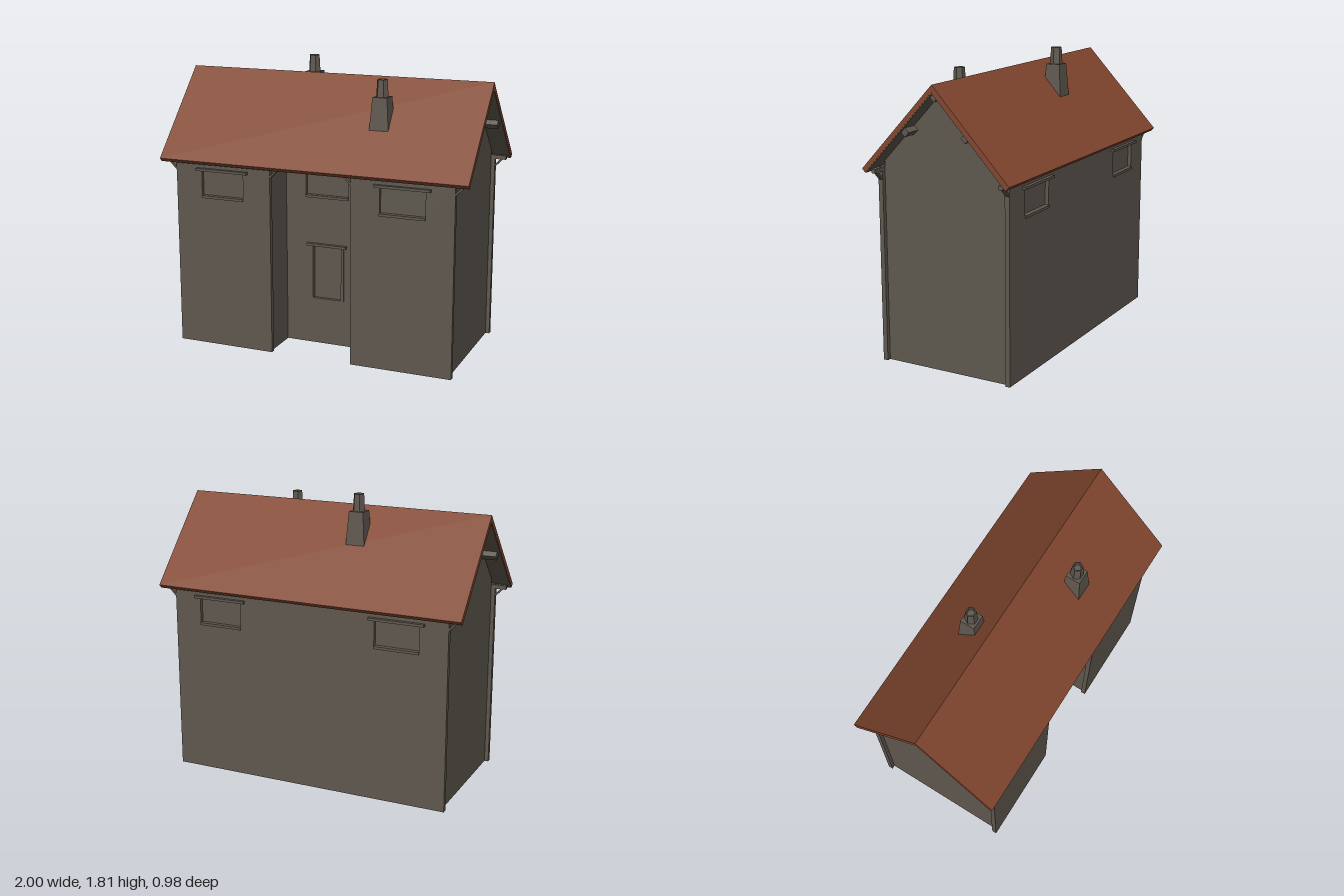
import * as THREE from 'three';

const stone = new THREE.MeshStandardMaterial({ color: 0x5f584f });
stone.name = 'stone';
const tile = new THREE.MeshStandardMaterial({ color: 0x82472f });
tile.name = 'roofTile';

const SLOPE = 1.07;
const T = 0.03; // wall thickness
const under = (z) => 1.672 - SLOPE * Math.abs(z); // underside of the roof

function add(parent, name, geometry, material = stone, x = 0, y = 0, z = 0) {
  const mesh = new THREE.Mesh(geometry, material);
  mesh.name = name;
  mesh.position.set(x, y, z);
  parent.add(mesh);
  return mesh;
}

const box = (parent, name, w, h, d, x, y, z) =>
  add(parent, name, new THREE.BoxGeometry(w, h, d), stone, x, y, z);

const polygon = (points) => new THREE.Shape(points.map(([x, y]) => new THREE.Vector2(x, y)));

const extrude = (shape, depth) => new THREE.ExtrudeGeometry(shape, { depth, bevelEnabled: false });

// Profile drawn as [z, y], extruded along x from x0 to x1
function alongX(points, x0, x1) {
  const g = extrude(polygon(points.map(([z, y]) => [-z, y])), x1 - x0);
  return g.rotateY(Math.PI / 2).translate(x0, 0, 0);
}

// Wall slab with its outer face at z = 0, with recessed windows
function facade(name, x0, x1, height, openings) {
  const group = new THREE.Group();
  group.name = name;
  const shape = polygon([[x0, 0], [x1, 0], [x1, height], [x0, height]]);
  for (const o of openings) {
    const a = o.x - o.w / 2, b = o.x + o.w / 2;
    shape.holes.push(polygon([[a, o.y0], [a, o.y1], [b, o.y1], [b, o.y0]]));
    const h = o.y1 - o.y0, mid = (o.y0 + o.y1) / 2;
    box(group, 'windowPane', o.w, h, 0.006, o.x, mid, -T + 0.004);
    box(group, 'lintel', o.lintel, 0.016, 0.035, o.x, o.y1 + 0.007, 0.005);
    if (o.jambs) {
      for (const s of [-1, 1]) {
        box(group, 'jamb', 0.02, h, T + 0.006, o.x + s * (o.w / 2 - 0.01), mid, -T / 2 + 0.004);
      }
    } else {
      box(group, 'sill', o.w, 0.016, T + 0.008, o.x, o.y0 + 0.008, -T / 2 + 0.005);
    }
  }
  add(group, 'wall', extrude(shape, T), stone, 0, 0, -T);
  return group;
}

const upper = (x) => ({ x, w: 0.285, y0: 0.96, y1: 1.135, lintel: 0.35 });

// Tapered stack with an open six-sided pot
function chimney(x, z, bottom, shoulder) {
  const group = new THREE.Group();
  group.name = 'chimney';
  const h = shoulder - bottom;
  const r = Math.SQRT1_2;
  const stack = new THREE.CylinderGeometry(0.092 * r, 0.122 * r, h, 4).toNonIndexed();
  stack.rotateY(Math.PI / 4).computeVertexNormals();
  add(group, 'stack', stack, stone, x, bottom + h / 2, z);
  const profile = [[0.039, 0], [0.033, 0.104], [0.025, 0.104], [0.023, 0.08], [0, 0.08]];
  const pot = new THREE.LatheGeometry(profile.map(([a, b]) => new THREE.Vector2(a, b)), 6).toNonIndexed();
  pot.rotateY(Math.PI / 6).computeVertexNormals();
  add(group, 'pot', pot, stone, x, shoulder, z);
  return group;
}

export function createModel() {
  const house = new THREE.Group();
  house.name = 'house';

  // Long walls: two front wings, the recessed entrance and the back
  for (const s of [-1, 1]) {
    const wing = facade('frontWing', Math.min(s * 0.265, s * 0.91), Math.max(s * 0.265, s * 0.91), 1.2, [upper(s * 0.59)]);
    wing.position.z = 0.44;
    house.add(wing);
  }
  const entrance = facade('recessedWall', -0.29, 0.29, under(0.17), [
    upper(0),
    { x: 0, w: 0.23, y0: 0.3, y1: 0.65, lintel: 0.265, jambs: true },
  ]);
  entrance.position.z = 0.17;
  house.add(entrance);
  const back = facade('backWall', -0.91, 0.91, 1.2, [upper(-0.59), upper(0.59)]);
  back.rotation.y = Math.PI;
  back.position.z = -0.44;
  house.add(back);

  // Gable walls and the side walls of the recess, slightly set in
  const gable = [[-0.41, 0], [0.41, 0], [0.41, under(0.41)], [0, under(0)], [-0.41, under(0.41)]];
  const cheek = [[0.14, 0], [0.41, 0], [0.41, under(0.41)], [0.14, under(0.14)]];
  for (const s of [-1, 1]) {
    add(house, 'gableWall', alongX(gable, s * 0.87 - 0.015, s * 0.87 + 0.015));
    add(house, 'recessSideWall', alongX(cheek, s * 0.29 - 0.012, s * 0.29 + 0.012));
  }

  // Roof tiles with a lining below
  for (const s of [-1, 1]) {
    const slab = [[0, 1.723], [s * 0.489, 1.2], [s * 0.468, 1.178], [0, 1.68]];
    const lining = [[0, 1.68], [s * 0.467, 1.179], [s * 0.463, 1.177], [0, 1.672]];
    if (s > 0) { slab.reverse(); lining.reverse(); }
    add(house, 'roofSlope', alongX(slab, -1, 1), tile);
    add(house, 'roofLining', alongX(lining, -0.998, 0.998));
  }

  // Ridge beam, purlins and eaves beams
  for (const z of [-0.2, 0, 0.2]) {
    const beam = box(house, z ? 'purlin' : 'ridgeBeam', 1.96, 0.04, 0.04, 0, under(z) - 0.022, z);
    beam.rotation.x = Math.PI / 4;
  }
  for (const s of [-1, 1]) {
    box(house, 'eavesBeam', 1.96, 0.025, 0.028, 0, 1.186, s * 0.425);
  }

  // Diagonal braces under the eaves beams
  function brace(x, dir, z) {
    const b = box(house, 'eavesBrace', 0.07, 0.012, 0.024, x + dir * 0.022, 1.153, z);
    b.rotation.z = dir * Math.PI / 4;
  }
  for (const s of [-1, 1]) {
    brace(s * 0.91, s, 0.425);
    brace(s * 0.91, s, -0.425);
    brace(s * 0.265, -s, 0.425);
  }

  house.add(chimney(0.375, 0.21, 1.43, 1.63));
  house.add(chimney(-0.215, -0.14, 1.5, 1.71));
  return house;
}
